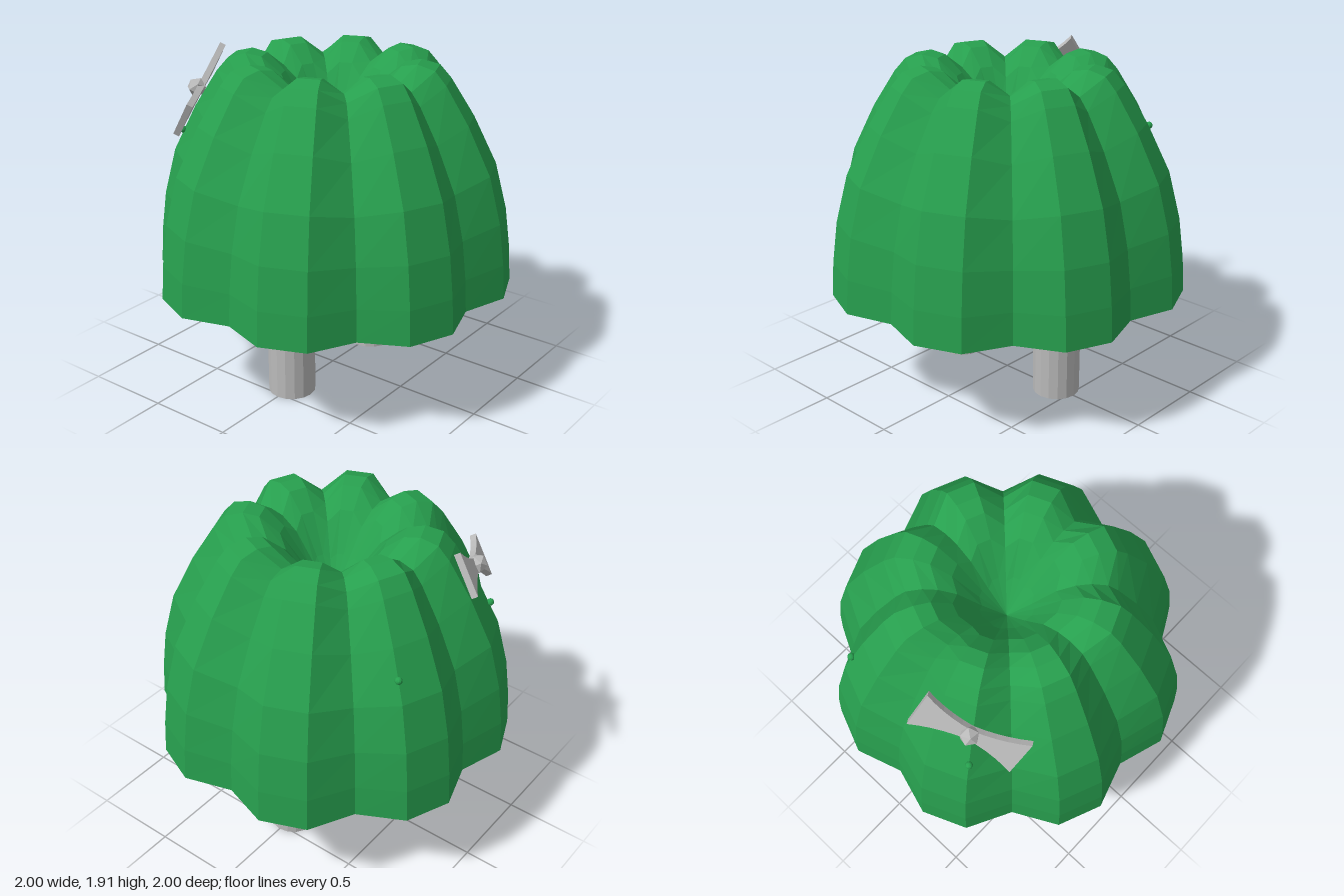
import * as THREE from 'three';

const green = new THREE.MeshStandardMaterial({ name: 'leaf green', color: 0x279f4e, flatShading: true });
const grey = new THREE.MeshStandardMaterial({ name: 'light grey', color: 0xbababa, flatShading: true });
const greySmooth = grey; // one grey for legs and bow

function add(group, name, geometry, material, x = 0, y = 0, z = 0) {
  const mesh = new THREE.Mesh(geometry, material);
  mesh.name = name;
  mesh.position.set(x, y, z);
  group.add(mesh);
  return mesh;
}

// Ribbed dome: eight lobes, three facets each, with a sunken top
function domeGeometry() {
  const base = 0.62, sides = 24;
  // radius and height along the ridge of a lobe
  const profile = [
    [0, base], [1.035, base], [1.022, 0.82], [0.99, 1.06], [0.92, 1.33], [0.787, 1.6],
    [0.655, 1.81], [0.59, 1.885], [0.49, 1.912], [0.4, 1.895], [0.29, 1.8], [0.15, 1.6], [0, 1.42],
  ];
  const positions = [], index = [];
  profile.forEach(([r, y], i) => {
    for (let j = 0; j <= sides; j++) {
      const a = (j / sides) * Math.PI * 2;
      const valley = j % 3 === 0;
      const radius = valley ? r * 0.885 : r;
      const sink = valley ? 0.07 * Math.min(1, r / 0.4) : 0;
      positions.push(radius * Math.sin(a), y - (y - base) * sink, radius * Math.cos(a));
      if (i < profile.length - 1 && j < sides) {
        const p = i * (sides + 1) + j, q = p + sides + 1;
        if (i > 0) index.push(p, p + 1, q + 1);
        if (i === 0) index.push(p, q + 1, q);
        else if (i < profile.length - 2) index.push(p, q + 1, q);
      }
    }
  });
  const geometry = new THREE.BufferGeometry();
  geometry.setAttribute('position', new THREE.Float32BufferAttribute(positions, 3));
  geometry.setIndex(index);
  geometry.computeVertexNormals();
  return geometry;
}

// Flat bow with two flared wings and a faceted knot
function createBow() {
  const bow = new THREE.Group();
  bow.name = 'bow';
  const depth = 0.035;
  for (const side of [-1, 1]) {
    const wing = new THREE.Shape();
    wing.moveTo(0, -0.035);
    wing.quadraticCurveTo(side * 0.16, -0.05, side * 0.295, -0.123);
    wing.lineTo(side * 0.295, 0.123);
    wing.quadraticCurveTo(side * 0.16, 0.05, 0, 0.035);
    const geometry = new THREE.ExtrudeGeometry(wing, { depth, bevelEnabled: false, curveSegments: 5 });
    geometry.translate(0, 0, -depth / 2);
    add(bow, side > 0 ? 'leftBowWing' : 'rightBowWing', geometry, grey);
  }
  add(bow, 'bowKnot', new THREE.IcosahedronGeometry(0.056, 0), grey, 0, 0, -0.02);

  // lean the bow against the dome
  const u = new THREE.Vector3(0.505, 0.211, -0.207).normalize();
  const n = u.clone().cross(new THREE.Vector3(-0.037, 0.196, 0.145)).normalize();
  const v = n.clone().cross(u);
  bow.quaternion.setFromRotationMatrix(new THREE.Matrix4().makeBasis(u, v, n));
  bow.position.set(-0.37, 1.695, -0.664);
  return bow;
}

export function createModel() {
  const model = new THREE.Group();
  model.name = 'ribbedDomeOnLegs';
  add(model, 'ribbedDome', domeGeometry(), green);

  // Legs and small eye beads, mirrored
  for (const side of [-1, 1]) {
    const name = side > 0 ? 'left' : 'right';
    add(model, name + 'Leg', new THREE.CylinderGeometry(0.136, 0.136, 0.64, 16), greySmooth, side * 0.393, 0.32, 0);
    add(model, name + 'EyeBead', new THREE.SphereGeometry(0.021, 10, 8), green, side * 0.435, 1.455, -0.75);
  }
  model.add(createBow());
  return model;
}
